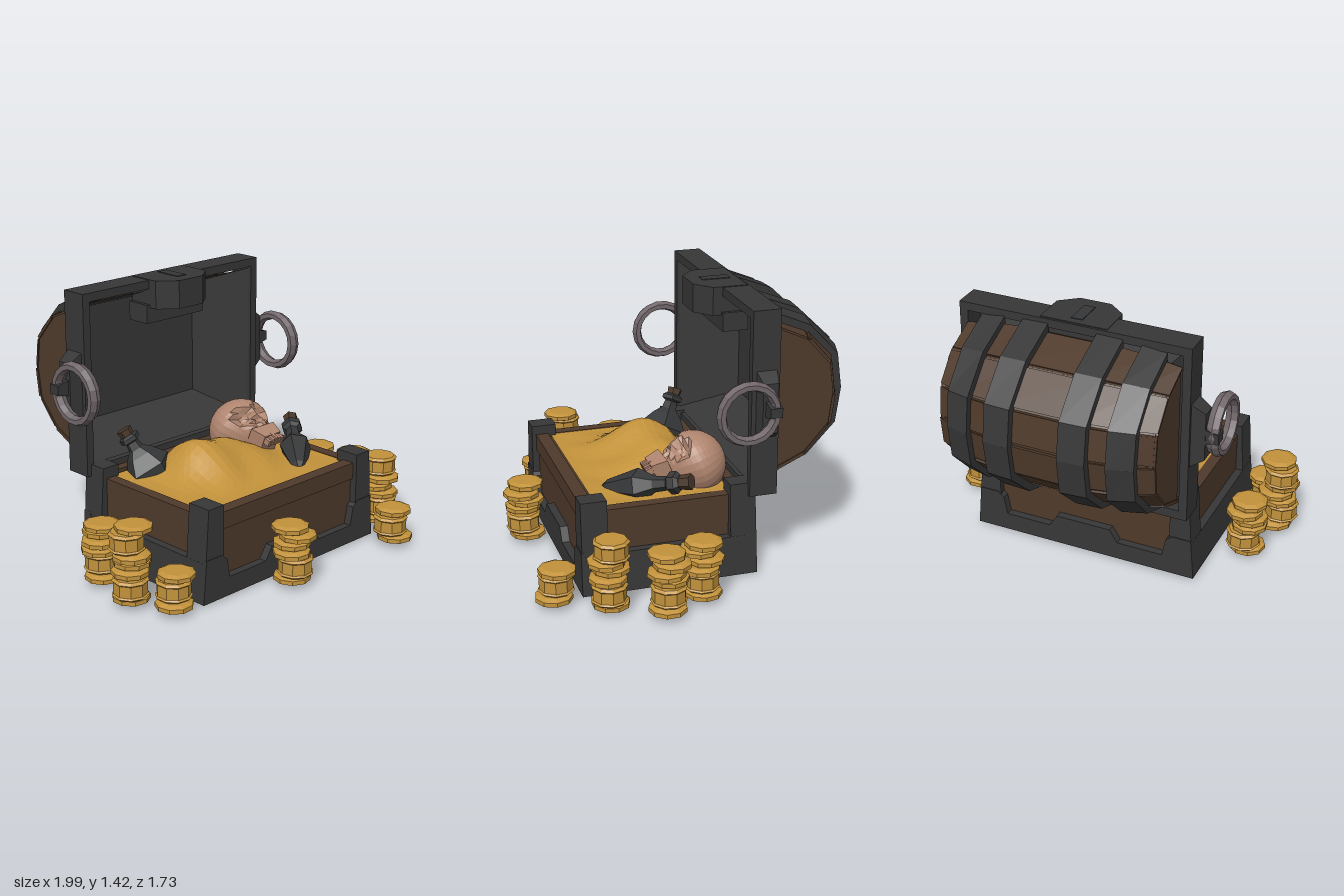
import * as THREE from 'three';

const mat = (name, color) => new THREE.MeshStandardMaterial({ name, color, flatShading: true, side: THREE.DoubleSide });

export function createModel() {
  const iron = mat('iron', 0x373737), wood = mat('wood', 0x4f3a2b), gold = mat('gold', 0xc2923b);
  const bone = mat('bone', 0xb0856f), steel = mat('steel', 0x71676a), glass = mat('bottle glass', 0x363738);
  const cork = mat('cork', 0x49382b);

  const root = new THREE.Group();
  root.name = 'treasureChest';
  const group = (name, parent = root) => {
    const g = new THREE.Group();
    g.name = name;
    parent.add(g);
    return g;
  };
  const add = (parent, name, geo, m, x = 0, y = 0, z = 0) => {
    const mesh = new THREE.Mesh(geo, m);
    mesh.name = name;
    mesh.position.set(x, y, z);
    parent.add(mesh);
    return mesh;
  };
  // Box given by its limits
  const block = (parent, name, m, x0, x1, y0, y1, z0, z1) =>
    add(parent, name, new THREE.BoxGeometry(x1 - x0, y1 - y0, z1 - z0), m, (x0 + x1) / 2, (y0 + y1) / 2, (z0 + z1) / 2);
  // Box whose corners are moved by a rule: f(x, y, z) with inputs -1 or 1
  const morph = (f) => {
    const geo = new THREE.BoxGeometry(2, 2, 2), p = geo.attributes.position;
    for (let i = 0; i < p.count; i++) p.setXYZ(i, ...f(p.getX(i), p.getY(i), p.getZ(i)));
    geo.computeVertexNormals();
    return geo;
  };
  const extrude = (pts, depth) => new THREE.ExtrudeGeometry(
    new THREE.Shape(pts.map(([x, y]) => new THREE.Vector2(x, y))), { depth, bevelEnabled: false });
  const lathe = (pts, sides) => new THREE.LatheGeometry(pts.map(([r, y]) => new THREE.Vector2(r, y)), sides);

  const chest = group('chest');
  chest.position.x = -0.018;

  // Lower box: floor, stepped trims, tapered corner posts and plank walls
  const base = group('base', chest);
  block(base, 'floor', iron, -0.625, 0.625, 0.008, 0.1, -0.3, 0.6);
  block(base, 'floorPanel', wood, -0.44, 0.44, 0, 0.009, -0.15, 0.45);
  const half = [[0.635, 0.01], [0.615, 0.24], [0.51, 0.24], [0.475, 0.21], [0.455, 0.11], [0.2, 0.11], [0.155, 0.18]];
  const trim = [...half, ...half.slice().reverse().map(([x, y]) => [-x, y])];
  add(base, 'frontTrim', extrude(trim, 0.05), iron, 0, 0, 0.562);
  add(base, 'backTrim', extrude(trim, 0.05), iron, 0, 0, -0.312);
  for (const s of [-1, 1]) {
    add(base, 'sideBand', morph((x, y, z) => [
      s * (x * s > 0 ? (y > 0 ? 0.617 : 0.635) : 0.56), y > 0 ? 0.22 : 0.01, 0.15 + z * 0.46]), iron);
    for (const zc of [0.54, -0.24]) {
      add(base, 'cornerPost', morph((x, y, z) => [
        s * (x * s > 0 ? (y > 0 ? 0.597 : 0.63) : 0.495), y > 0 ? 0.5 : 0.02, zc + z * 0.068]), iron);
    }
    block(base, 'sideWall', wood, s > 0 ? 0.515 : -0.575, s > 0 ? 0.575 : -0.515, 0.1, 0.44, -0.2, 0.5);
  }
  for (const [z0, z1, out] of [[0.5, 0.57, 1], [-0.27, -0.2, -1]]) {
    block(base, 'lowerPlank', wood, -0.54, 0.54, 0.06, 0.352, z0, z1);
    block(base, 'upperPlank', wood, -0.54, 0.54, 0.36, 0.45, z0 + out * 0.015, z1 + out * 0.015);
    block(base, 'innerPlank', wood, -0.52, 0.52, 0.3, 0.43, z0 - out * 0.02, z1 - out * 0.02);
  }

  // Heap of gold
  const heap = new THREE.PlaneGeometry(1.04, 0.7, 22, 16).rotateX(-Math.PI / 2);
  const hp = heap.attributes.position;
  const bump = (x, z, cx, cz, w, d) => Math.exp(-(((x - cx) / w) ** 2) - ((z - cz) / d) ** 2);
  for (let i = 0; i < hp.count; i++) {
    const x = hp.getX(i), z = hp.getZ(i) + 0.15;
    const edge = Math.min(1, (0.52 - Math.abs(x)) * 8, (0.35 - Math.abs(z - 0.15)) * 8);
    const h = 0.16 * bump(x, z, -0.17, 0.08, 0.15, 0.22) + 0.11 * bump(x, z, 0.09, 0.06, 0.18, 0.22);
    hp.setY(i, 0.437 + edge * (h + 0.004 * Math.sin(x * 23 + z * 17)));
  }
  heap.computeVertexNormals();
  add(chest, 'goldHeap', heap, gold, 0, 0, 0.15);

  // Open lid: rim frame
  const lid = group('lid', chest);
  const rect = (C, w, y0, y1) => {
    const s = new C();
    s.moveTo(-w, y0); s.lineTo(w, y0); s.lineTo(w, y1); s.lineTo(-w, y1); s.closePath();
    return s;
  };
  const rim = rect(THREE.Shape, 0.625, 0.435, 1.41);
  rim.holes.push(rect(THREE.Path, 0.58, 0.485, 1.365));
  add(lid, 'rim', new THREE.ExtrudeGeometry(rim, { depth: 0.146, bevelEnabled: false }), iron, 0, 0, -0.412);

  // Lid lining: four sloping walls and a back panel, facing forwards
  const lining = morph((x, y, z) => z > 0 ? [-x * 0.575, 0.925 + y * 0.43, -0.28] : [-x * 0.435, 0.925 + y * 0.315, -0.59]);
  lining.setIndex([...lining.index.array].filter((_, i) => i < 24 || i >= 30)); // open at the front
  add(lid, 'lining', lining, iron);

  // Barrel of planks and iron hoops, narrowing towards both ends
  const arc = [[0, 0.457], [0.245, 0.365], [0.425, 0.195], [0.455, 0], [0.425, -0.195], [0.245, -0.365], [0, -0.457]];
  const onArc = (x, t, f) => {
    const i = Math.min(5, Math.floor(t)), u = t - i, k = Math.abs(x / 0.6) ** 3;
    const d = THREE.MathUtils.lerp(arc[i][0], arc[i + 1][0], u), h = THREE.MathUtils.lerp(arc[i][1], arc[i + 1][1], u);
    return [x, 0.925 + h * f * (1 - 0.1 * k), -0.408 - d * f * (1 - 0.26 * k)];
  };
  const stave = (name, m, x0, x1, t0, t1, fin, fout) =>
    add(lid, name, morph((x, y, z) => onArc(x > 0 ? x1 : x0, y > 0 ? t0 : t1, z > 0 ? fin : fout)), m);
  const stations = [-0.58, -0.44, -0.2, 0.2, 0.44, 0.58];
  for (let i = 0; i < 6; i++) {
    for (let j = 0; j < 5; j++) {
      stave('plank', wood, stations[j], stations[j + 1], i + 0.05, i + 0.95, 0.9, (i + j) % 2 ? 0.94 : 0.925);
      stave('plankBacking', wood, stations[j], stations[j + 1], i, i + 0.999, 0.895, 0.908);
    }
    for (const [x0, x1] of [[-0.5, -0.37], [-0.27, -0.13], [0.13, 0.27], [0.37, 0.5]]) {
      stave('hoop', iron, x0, x1, i, i + 0.9999, 0.9, 1.015);
    }
  }
  const cap = arc.map(([d, h]) => [d * 0.72, h * 0.83]);
  for (const x of [-0.57, 0.54]) {
    add(lid, 'endBoard', extrude(cap, 0.03).rotateY(Math.PI / 2), wood, x, 0.925, -0.408);
  }

  // Lock hasp on the top edge of the lid, with a keyhole slot
  const hasp = [[-0.18, -0.4], [-0.18, -0.215], [-0.085, -0.138], [0.085, -0.138], [0.18, -0.215], [0.18, -0.4]];
  add(lid, 'hasp', extrude(hasp.map(([x, z]) => [x, -z]), 0.15).rotateX(-Math.PI / 2), iron, 0, 1.264, 0);
  block(lid, 'haspPlate', iron, -0.2, 0.2, 1.18, 1.28, -0.4, -0.262);
  block(lid, 'slotPlate', glass, -0.03, 0.03, 1.41, 1.418, -0.36, -0.21);

  // Ring handles
  for (const s of [-1, 1]) {
    const handle = group(s > 0 ? 'leftHandle' : 'rightHandle', lid);
    add(handle, 'bracket', morph((x, y, z) => x * s > 0
      ? [s * 0.695, 0.925 + y * 0.13, -0.34 + z * 0.04] : [s * 0.61, 0.925 + y * 0.185, -0.343 + z * 0.056]), iron);
    add(handle, 'hook', morph((x, y, z) => [
      s * (x * s > 0 ? 0.763 : 0.68), 0.925 + y * (x * s > 0 ? 0.025 : 0.045), -0.345 + z * 0.032]), iron);
    add(handle, 'ring', new THREE.TorusGeometry(0.143, 0.025, 6, 18).scale(1, 1, 1.45).rotateY(Math.PI / 2), steel, s * 0.726, 0.925, -0.215);
  }

  // Skull lying on its back: a sphere with smooth sockets pressed in and a narrowed face
  const skull = group('skull');
  skull.position.set(0.29, 0.52, -0.07);
  skull.rotation.set(-1.2, 0, 0);
  const head = new THREE.SphereGeometry(1, 28, 22), sp = head.attributes.position;
  const pits = [[-0.42, -0.28, 0.86, 0.38], [0.42, -0.28, 0.86, 0.38], [0, -0.66, 0.75, 0.2]];
  const v = new THREE.Vector3();
  for (let i = 0; i < sp.count; i++) {
    v.fromBufferAttribute(sp, i);
    let r = 1;
    for (const [x, y, z, size] of pits) {
      const t = v.distanceTo(new THREE.Vector3(x, y, z)) / size;
      r -= 0.3 * (1 - THREE.MathUtils.smoothstep(t, 0.55, 1));
    }
    const low = Math.max(0, -v.y);
    sp.setXYZ(i, v.x * 0.178 * r * (1 - 0.35 * low), v.y * 0.17 * r, v.z * 0.172 * r);
  }
  head.computeVertexNormals();
  add(skull, 'cranium', head, bone);
  add(skull, 'upperJaw', morph((x, y, z) => [
    x * (y > 0 ? 0.085 : 0.06), y > 0 ? -0.13 : -0.215, z > 0 ? 0.12 : -0.01]), bone);
  for (let i = -2; i <= 2; i++) {
    block(skull, 'tooth', bone, i * 0.024 - 0.009, i * 0.024 + 0.009, -0.25, -0.2, 0.075, 0.122 - Math.abs(i) * 0.006);
  }

  // Bottles lying in the gold, set along an axis from foot to cork
  const bottle = (name, from, to, profile, sides) => {
    const g = group(name), a = new THREE.Vector3(...from), b = new THREE.Vector3(...to).sub(a);
    const len = b.length();
    g.position.copy(a);
    g.quaternion.setFromUnitVectors(new THREE.Vector3(0, 1, 0), b.normalize());
    add(g, 'body', lathe(profile.map(([r, y]) => [r, y * len]), sides), glass);
    add(g, 'cork', new THREE.CylinderGeometry(0.042, 0.036, len * 0.13, 6), cork, 0, len * 0.95, 0);
  };
  const neck = [[0.042, 0.62], [0.036, 0.76], [0.058, 0.79], [0.058, 0.86], [0.04, 0.9], [0, 0.9]];
  bottle('squatBottle', [-0.34, 0.4, -0.08], [-0.44, 0.66, -0.205], [[0, 0], [0.12, 0.02], [0.135, 0.25], [0.08, 0.5], ...neck], 5);
  bottle('pointedBottle', [0.235, 0.42, 0.42], [0.575, 0.545, 0.04], [[0, 0], [0.04, 0.1], [0.088, 0.45], [0.07, 0.52], ...neck], 6);

  // Coin stacks (x, z, top): bevelled coins, and tall drums with a rim at each end
  const coin = (h) => lathe([[0, 0], [0.07, 0], [0.096, h * 0.25], [0.096, h * 0.75], [0.07, h], [0, h]], 9);
  const drum = (h) => lathe([[0, 0], [0.08, 0], [0.094, 0.012], [0.086, 0.02], [0.086, h - 0.02],
    [0.094, h - 0.012], [0.08, h], [0, h]], 9);
  const stacks = [[-0.82, 0.04, 0.34], [-0.89, 0.35, 0.44], [-0.77, 0.53, 0.22], [-0.155, 0.74, 0.36],
    [0.625, 0.75, 0.22], [0.78, 0.52, 0.4], [0.89, 0.25, 0.35], [0.8, 0.05, 0.35]];
  stacks.forEach(([x, z, top], n) => {
    const g = group('coinStack');
    let y = 0.022;
    for (let i = 0; y < top - 0.02; i++) {
      const tall = i % 4 === 1 && top - y > 0.1;
      const h = Math.min(tall ? 0.1 : 0.044, top - y), a = n * 2.3 + i * 1.9;
      const c = add(g, tall ? 'coinDrum' : 'coin', tall ? drum(h) : coin(h), gold,
        x + 0.016 * Math.sin(a), y, z + 0.016 * Math.cos(a * 1.3));
      c.rotation.y = a;
      y += h;
    }
  });
  return root;
}
